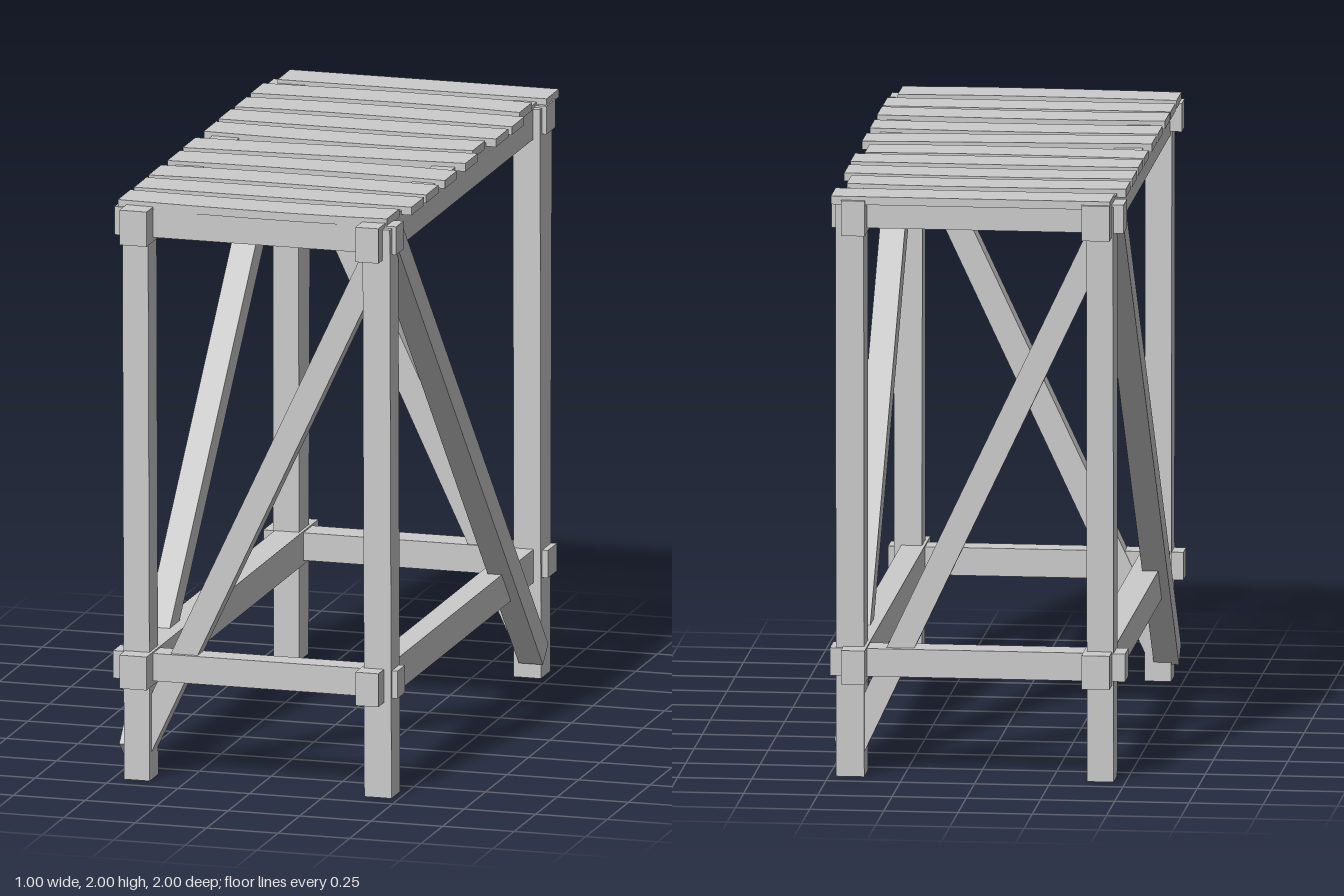
import * as THREE from 'three';

const material = new THREE.MeshStandardMaterial({ color: 0xcccccc, flatShading: true });

export function createModel() {
  const group = new THREE.Group();

  const add = (name, geometry) => {
    const mesh = new THREE.Mesh(geometry, material);
    mesh.name = name;
    group.add(mesh);
    return mesh;
  };

  // Box given by its limits on each axis
  const beam = (name, [x0, x1], [y0, y1], [z0, z1]) =>
    add(name, new THREE.BoxGeometry(x1 - x0, y1 - y0, z1 - z0)
      .translate((x0 + x1) / 2, (y0 + y1) / 2, (z0 + z1) / 2));

  // Legs: slightly uneven posts, z range differs between top and bottom
  const leg = (name, [x0, x1], zBottom, zTop) => {
    const geometry = new THREE.BoxGeometry(1, 1, 1);
    const p = geometry.attributes.position;
    for (let i = 0; i < p.count; i++) {
      const top = p.getY(i) > 0;
      const z = top ? zTop : zBottom;
      p.setXYZ(i, p.getX(i) > 0 ? x1 : x0, top ? 1.965 : 0, p.getZ(i) > 0 ? z[1] : z[0]);
    }
    geometry.computeVertexNormals();
    add(name, geometry);
  };
  for (const [side, x] of [['left', [0.38, 0.475]], ['right', [-0.46, -0.37]]]) {
    leg(side + 'FrontLeg', x, [0.83, 0.93], [0.85, 0.95]);
    leg(side + 'BackLeg', x, [-0.92, -0.81], [-0.94, -0.80]);
  }

  // Long rails run the full depth and stick out past the legs
  for (const [side, x] of [['left', [0.37, 0.45]], ['right', [-0.455, -0.36]]]) {
    beam(side + 'UpperRail', x, [1.86, 1.98], [-1, 1]);
    beam(side + 'LowerRail', x, [0.33, 0.445], [-1, 1]);
  }

  // Short rails cross between the legs
  for (const [end, z] of [['front', [0.84, 0.925]], ['back', [-0.93, -0.825]]]) {
    beam(end + 'UpperRail', [-0.495, 0.49], [1.875, 1.972], z);
    beam(end + 'LowerRail', [-0.5, 0.495], [0.345, 0.44], z);
  }

  // Diagonal braces, one per side
  const endBrace = (name, z, [x0, y0], [x1, y1]) => {
    const length = Math.hypot(x1 - x0, y1 - y0);
    const mesh = add(name, new THREE.BoxGeometry(0.085, length, 0.075));
    mesh.position.set((x0 + x1) / 2, (y0 + y1) / 2, z);
    mesh.rotation.z = Math.atan2(x0 - x1, y1 - y0);
  };
  endBrace('frontBrace', 0.873, [-0.41, 0.11], [0.42, 1.88]);
  endBrace('backBrace', -0.87, [0.42, 0.1], [-0.41, 1.86]);

  const sideBrace = (name, x, [z0, y0], [z1, y1]) => {
    const length = Math.hypot(z1 - z0, y1 - y0);
    const mesh = add(name, new THREE.BoxGeometry(0.085, length, 0.085));
    mesh.position.set(x, (y0 + y1) / 2, (z0 + z1) / 2);
    mesh.rotation.x = Math.atan2(z1 - z0, y1 - y0);
  };
  sideBrace('leftBrace', 0.443, [-0.83, 0.08], [0.87, 1.93]);
  sideBrace('rightBrace', -0.443, [0.87, 0.085], [-0.84, 1.94]);

  // Top slats: [centre z, x start, x end, bow, x of bow peak, skew]
  const slats = [
    [-0.915, -0.455, 0.485, 0, 0, 0],
    [-0.70, -0.485, 0.455, -0.017, 0.1, 0],
    [-0.51, -0.485, 0.485, -0.017, -0.13, 0],
    [-0.325, -0.485, 0.485, 0, 0, 0],
    [-0.155, -0.485, 0.455, 0.017, 0.1, 0],
    [0.06, -0.485, 0.485, 0, 0, -0.06],
    [0.27, -0.485, 0.485, -0.013, 0.1, 0],
    [0.488, -0.485, 0.485, -0.015, -0.13, 0],
    [0.657, -0.485, 0.485, 0, 0, 0],
    [0.845, -0.485, 0.455, 0.017, 0.1, 0],
  ];
  slats.forEach(([zc, x0, x1, bow, peak, skew], i) => {
    const geometry = new THREE.BoxGeometry(x1 - x0, 0.028, 0.145, 6, 1, 1);
    geometry.translate((x0 + x1) / 2, 1.979 + (i % 2) * 0.002, zc);
    const p = geometry.attributes.position;
    for (let k = 0; k < p.count; k++) {
      const x = p.getX(k);
      const t = (x - peak) / (x < peak ? peak - x0 : x1 - peak);
      p.setZ(k, p.getZ(k) + bow * (1 - t * t) + skew * x / (x1 - x0));
    }
    geometry.computeVertexNormals();
    add('slat' + (i + 1), geometry);
  });

  return group;
}
